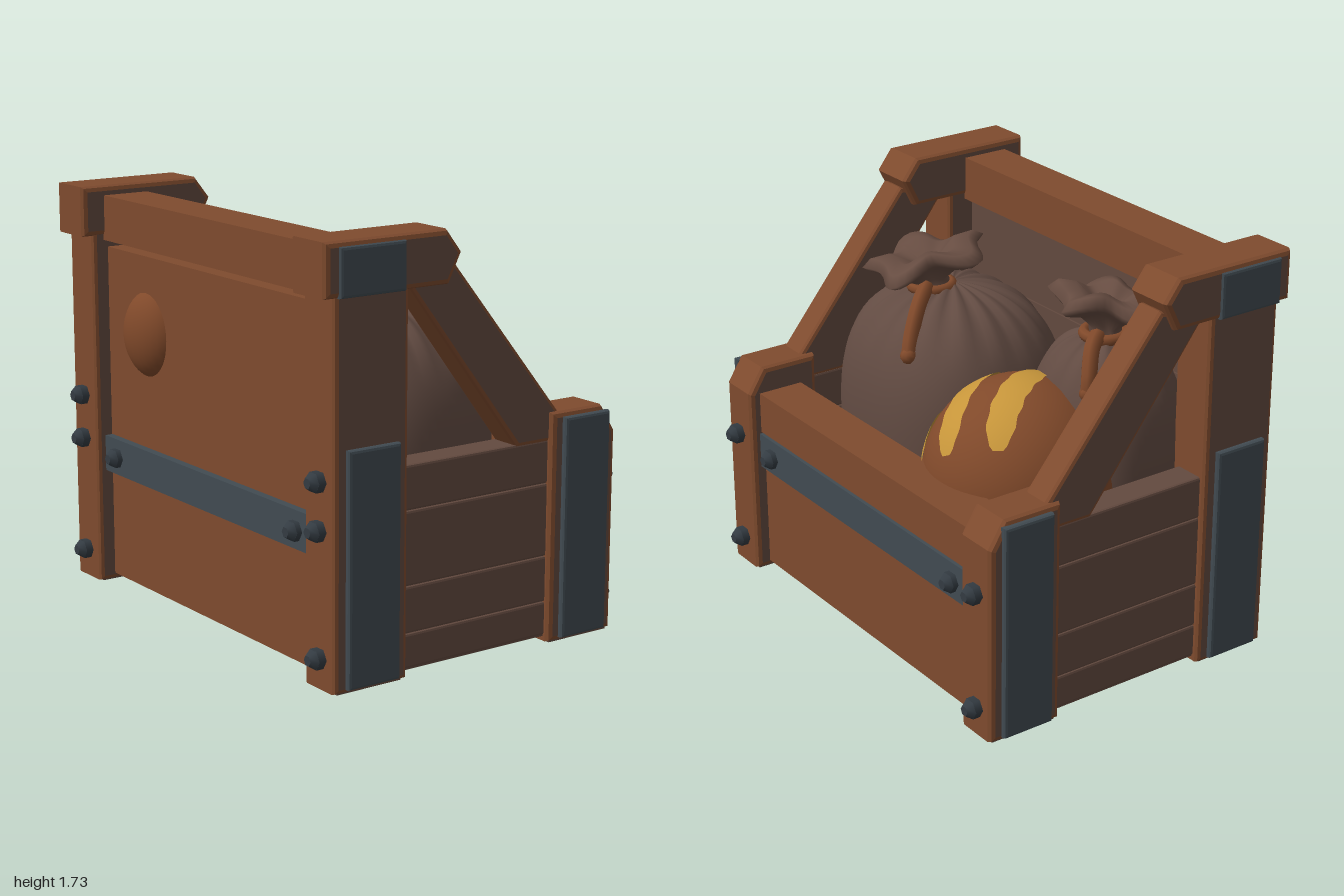
import * as THREE from 'three';

const mat = (name, color, side = THREE.FrontSide) => {
  const m = new THREE.MeshStandardMaterial({ color, side });
  m.name = name;
  return m;
};
const wood = mat('warmWood', 0x7f4b2e);
const sideWood = mat('greyBrownWood', 0x634a3f);
const metal = mat('darkMetal', 0x414b52);
const boltMetal = mat('boltMetal', 0x343c43);
const cloth = mat('sackCloth', 0x624b42);
const ruffleCloth = mat('ruffleCloth', 0x664c41, THREE.DoubleSide);
const yellow = mat('yellowStripe', 0xc6953a, THREE.DoubleSide);
const leather = mat('orangeCloth', 0x80492a);

export function createModel() {
  const root = new THREE.Group();
  root.name = 'crateWithSacks';

  const add = (name, geo, material, parent = root) => {
    const m = new THREE.Mesh(geo, material);
    m.name = name;
    parent.add(m);
    return m;
  };
  // bevelled outline in x and y, running from z0 to z1
  const slab = (name, pts, z0, z1, mats, bevel = 0.018) => {
    const geo = new THREE.ExtrudeGeometry(new THREE.Shape(pts.map(p => new THREE.Vector2(...p))), {
      depth: z1 - z0 - 2 * bevel, bevelThickness: bevel, bevelSize: bevel, bevelOffset: -bevel, bevelSegments: 2,
    });
    geo.translate(0, 0, z0 + bevel);
    return add(name, geo, mats);
  };
  const rect = (x0, x1, y0, y1) => [[x0, y0], [x1, y0], [x1, y1], [x0, y1]];
  const both = [sideWood, wood];

  // end frames, mirrored front and back
  for (const s of [1, -1]) {
    const end = (name, pts, a, b, mats, bevel) =>
      slab(name, pts, Math.min(s * a, s * b), Math.max(s * a, s * b), mats, bevel);
    end('tallPost', rect(-0.69, -0.35, 0.005, 1.56), 0.775, 0.975, both);
    end('shortPost', [[0.36, 0.005], [0.69, 0.005], [0.69, 0.84], [0.62, 0.95], [0.36, 0.95]], 0.775, 0.975, both, 0.022);
    end('postCap', [[-0.74, 1.52], [-0.17, 1.52], [-0.11, 1.64], [-0.18, 1.73], [-0.74, 1.73]], 0.765, 0.987, both, 0.022);
    end('diagonalBrace', [[-0.35, 1.55], [0.2, 0.83], [0.4, 0.83], [0.42, 0.94], [-0.12, 1.6]], 0.81, 0.95, both);
    for (const [y0, y1] of [[0.03, 0.17], [0.17, 0.36], [0.36, 0.66], [0.66, 0.84]])
      end('endPlank', rect(-0.37, 0.38, y0, y1), 0.81, 0.945, sideWood, 0.01);
    end('tallPostPlate', rect(-0.64, -0.4, 0.02, 0.95), 0.96, 1, metal, 0.012);
    end('shortPostPlate', rect(0.41, 0.64, 0.02, 0.93), 0.96, 1, metal, 0.012);
    end('capPlate', rect(-0.68, -0.38, 1.52, 1.71), 0.965, 1, metal, 0.012);
    for (const x of [-0.52, 0.525])
      add('postFoot', new THREE.BoxGeometry(0.3, 0.009, 0.17), sideWood).position.set(x, 0.0045, s * 0.875);
  }

  // long sides: planks, top rails, inner lining and floor
  for (const [y0, y1] of [[0.03, 0.18], [0.18, 0.36], [0.36, 0.5], [0.5, 0.68]])
    slab('lowSidePlank', rect(0.5, 0.63, y0, y1), -0.8, 0.8, wood, 0.01);
  slab('lowSideRail', rect(0.44, 0.645, 0.66, 0.84), -0.8, 0.8, wood, 0.025);
  for (let i = 0; i < 8; i++)
    slab('tallSidePlank', rect(-0.62, -0.5, 0.03 + i * 0.18, 0.21 + i * 0.18), -0.8, 0.8, wood, 0.01);
  slab('tallSideRail', rect(-0.64, -0.43, 1.5, 1.69), -0.8, 0.8, wood, 0.025);
  for (let i = 0; i < 4; i++)
    slab('liningPlank', rect(-0.5, -0.47, 0.06 + i * 0.365, 0.42 + i * 0.365), -0.8, 0.8, sideWood, 0.008);
  add('lowSideLining', new THREE.BoxGeometry(0.03, 0.6, 1.6), sideWood).position.set(0.49, 0.36, 0);
  add('floor', new THREE.BoxGeometry(1.22, 0.05, 1.88), sideWood).position.set(0, 0.05, 0);

  // metal straps and bolts on both long sides
  const bolt = (side, x, y, z) => {
    const g = new THREE.Group();
    g.name = 'bolt';
    add('boltHead', new THREE.CylinderGeometry(0.043, 0.043, 0.035, 6).toNonIndexed(), boltMetal, g).position.y = 0.015;
    add('boltTip', new THREE.CylinderGeometry(0.022, 0.043, 0.028, 6), boltMetal, g).position.y = 0.046;
    g.rotation.z = -side * Math.PI / 2;
    g.position.set(side * x, y, z);
    root.add(g);
  };
  for (const side of [1, -1]) {
    slab('metalStrap', side > 0 ? rect(0.6, 0.655, 0.5, 0.655) : rect(-0.655, -0.6, 0.5, 0.655), -0.78, 0.78, metal, 0.01);
    for (const z of [-1, 1]) {
      for (const y of side > 0 ? [0.13, 0.63] : [0.13, 0.63, 0.82]) bolt(side, 0.69, y, z * 0.88);
      bolt(side, 0.645, 0.575, z * 0.67);
    }
  }

  // rounded-box sack with creases gathering towards the neck
  const sackBody = (r, folds) => {
    const geo = new THREE.SphereGeometry(1, 72, 48);
    const p = geo.attributes.position, v = new THREE.Vector3();
    for (let i = 0; i < p.count; i++) {
      v.fromBufferAttribute(p, i);
      const k = Math.pow(Math.abs(v.x) ** 2.5 + Math.abs(v.y) ** 2.5 + Math.abs(v.z) ** 2.5, -1 / 2.5);
      const a = Math.atan2(v.z, v.x), gather = Math.max(0, v.y - 0.55) * Math.hypot(v.x, v.z);
      v.multiplyScalar(k * (1 + 0.1 * gather * Math.sin(folds * a + Math.sin(3 * a))));
      p.setXYZ(i, v.x * r[0], v.y * r[1], v.z * r[2]);
    }
    geo.computeVertexNormals();
    return geo;
  };
  // floppy ruffled mouth: a flared profile whose rim waves in and out
  const ruffle = (seed) => {
    const pts = [[0.08, -0.04], [0.065, 0.02], [0.13, 0.08], [0.21, 0.1], [0.235, 0.125], [0.2, 0.165], [0.13, 0.175], [0.06, 0.12], [0.001, 0.1]];
    const geo = new THREE.LatheGeometry(pts.map(q => new THREE.Vector2(...q)), 48);
    const p = geo.attributes.position;
    for (let i = 0; i < p.count; i++) {
      const x = p.getX(i), z = p.getZ(i), r = Math.hypot(x, z), a = Math.atan2(z, x);
      const wave = Math.sin(5 * a + seed) + 0.5 * Math.sin(3 * a + 2 * seed);
      const k = 1 + 0.7 * r * wave;
      p.setXYZ(i, x * k, p.getY(i) + 0.13 * r * Math.cos(4 * a + seed), z * k);
    }
    geo.computeVertexNormals();
    return geo;
  };
  const sack = (name, center, r, folds, neck, tilt, size, tail) => {
    const g = new THREE.Group();
    g.name = name;
    root.add(g);
    add('sackBody', sackBody(r, folds), cloth, g).position.set(...center);
    const mouth = add('sackRuffle', ruffle(folds), ruffleCloth, g);
    mouth.position.set(...neck);
    mouth.rotation.set(...tilt);
    mouth.scale.set(...size);
    const tie = add('sackTie', new THREE.TorusGeometry(0.085, 0.024, 8, 24), leather, g);
    tie.rotation.x = Math.PI / 2;
    tie.position.set(neck[0], neck[1] - 0.01, neck[2]);
    const curve = new THREE.CatmullRomCurve3(tail.map(q => new THREE.Vector3(...q)));
    add('tieTail', new THREE.TubeGeometry(curve, 12, 0.033, 7), leather, g);
    add('tieTailEnd', new THREE.SphereGeometry(0.036, 10, 8), leather, g).position.set(...tail[tail.length - 1]);
  };
  sack('largeSack', [-0.04, 0.75, 0.31], [0.43, 0.6, 0.5], 17, [0.04, 1.35, 0.35], [0.2, 0, -0.15], [1.05, 0.85, 1.05],
    [[0.1, 1.36, 0.3], [0.2, 1.31, 0.22], [0.28, 1.2, 0.16], [0.3, 1.15, 0.14]]);
  sack('smallSack', [-0.24, 0.83, -0.48], [0.29, 0.51, 0.32], 13, [-0.22, 1.35, -0.49], [0, 0.5, 0.1], [0.78, 0.95, 0.98],
    [[-0.15, 1.36, -0.53], [-0.08, 1.33, -0.58], [-0.03, 1.24, -0.63], [-0.02, 1.18, -0.64]]);

  // round striped bundle: stripes follow latitudes of a tilted axis
  const bundle = new THREE.Group();
  bundle.name = 'stripedBundle';
  bundle.position.set(0.1, 0.77, -0.38);
  const axis = new THREE.Vector3(0.43, -0.3, 0.855).normalize();
  const run = new THREE.Vector3(-0.83, 0.257, 0.494).normalize();
  const up = new THREE.Vector3().crossVectors(run, axis).normalize();
  run.crossVectors(axis, up);
  bundle.quaternion.setFromRotationMatrix(new THREE.Matrix4().makeBasis(run, axis, up));
  root.add(bundle);
  add('bundleBody', new THREE.SphereGeometry(0.41, 48, 32), leather, bundle);
  for (const [theta, halfRun] of [[1.88, 0.72], [1.3, 0.72], [0.66, 0.75]]) {
    const geo = new THREE.PlaneGeometry(2, 2, 28, 6), p = geo.attributes.position;
    for (let i = 0; i < p.count; i++) {
      const u = p.getX(i), w = 0.15 * Math.sqrt(1 - 0.9 * u ** 4) * (1 + 0.06 * Math.sin(17 * u));
      const t = theta + p.getY(i) * w, a = u * halfRun;
      p.setXYZ(i, 0.416 * Math.sin(t) * Math.sin(a), 0.416 * Math.cos(t), 0.416 * Math.sin(t) * Math.cos(a));
    }
    geo.computeVertexNormals();
    add('yellowStripe', geo, yellow, bundle);
  }

  // bulge pushing out through the tall side
  const bulge = add('sideBulge', new THREE.SphereGeometry(1, 28, 20), leather);
  bulge.scale.set(0.12, 0.19, 0.17);
  bulge.position.set(-0.575, 1.14, -0.47);

  return root;
}
